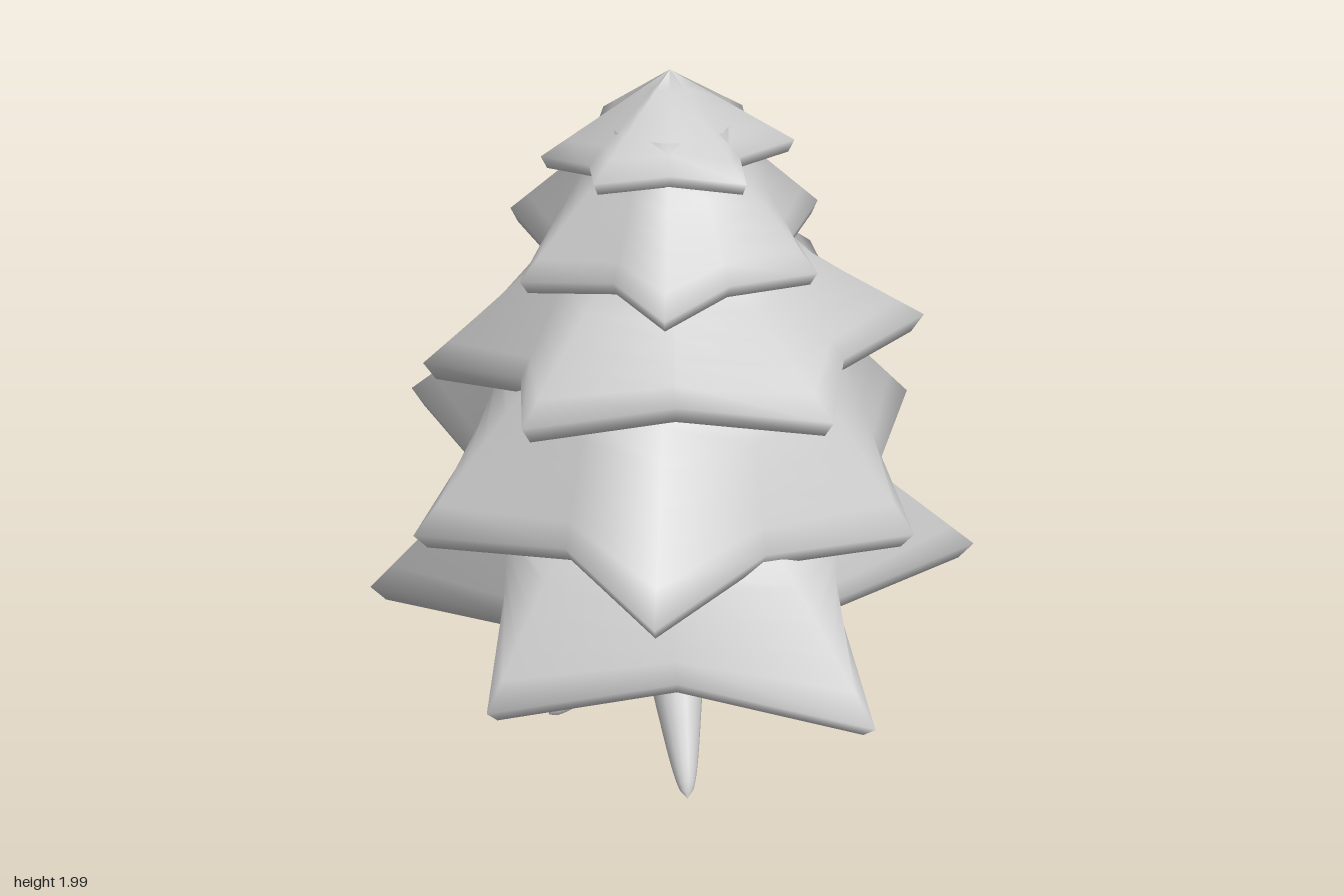
import * as THREE from 'three';

const material = new THREE.MeshStandardMaterial({ color: 0xcccccc });
const CENTRE_Z = -0.03;

// Each tier: six tips [x, z, own notch depth if unusual], rim height y with its
// tilt along x and z, notch depth, rim thickness, upper ring under the next tier.
const TIERS = [
  { tips: [[.83, .12, .66], [.39, .81, .81], [-.53, .61], [-.83, .05], [-.36, -.82, .9], [.58, -.63]],
    y: .62, tilt: [.025, .03], notch: .7, rim: .05, top: .92, radius: .51 },
  { tips: [[.56, .42], [-.13, .73, .77], [-.68, .32, .78], [-.69, -.37], [.15, -.82], [.71, -.25, .88]],
    y: .945, tilt: [-.03, 0], notch: .82, rim: .05, top: 1.28, radius: .42 },
  { tips: [[.635, .08], [.3, .565], [-.4, .425, .76], [-.63, .03], [-.27, -.58], [.45, -.455]],
    y: 1.32, tilt: [.06, .07], notch: .83, rim: .05, top: 1.56, radius: .295 },
  { tips: [[.315, .25], [-.07, .44, .73], [-.38, .19], [-.385, -.24], [.085, -.52], [.4, -.165]],
    y: 1.58, tilt: [.01, .035], notch: .83, rim: .035, top: 1.8, radius: .185 },
  { tips: [[.295, .01, .69], [.14, .25], [-.2, .18], [-.31, -.01], [-.135, -.305], [.21, -.24]],
    y: 1.817, tilt: [.03, .03], notch: .79, rim: .03, top: 2, radius: 0 },
];

// Smooth surface through closed rows of points, ordered from below to above
function loft(rows) {
  const n = rows[0].length;
  const index = [];
  for (let r = 0; r < rows.length - 1; r++) {
    for (let i = 0; i < n; i++) {
      const j = (i + 1) % n;
      const a = r * n + i, b = r * n + j, c = a + n, d = b + n;
      index.push(a, c, d, a, d, b);
    }
  }
  const geometry = new THREE.BufferGeometry().setFromPoints(rows.flat());
  geometry.setIndex(index);
  geometry.computeVertexNormals();
  return geometry;
}

// Star-shaped skirt of foliage with a soft bevelled rim
function tierGeometry({ tips, y, tilt, notch, rim, top, radius }) {
  const rimPoint = (x, z) => new THREE.Vector3(x, y + tilt[0] * x + tilt[1] * z, z);
  // Each notch is the midpoint of two tips, pulled towards the axis
  const edge = tips.flatMap(([x, z, depth = notch], i) => {
    const [nextX, nextZ] = tips[(i + 1) % tips.length];
    return [rimPoint(x, z), rimPoint((x + nextX) / 2 * depth, (z + nextZ) / 2 * depth)];
  });
  const inset = (scale, drop) => edge.map((p) => new THREE.Vector3(p.x * scale, p.y - drop, p.z * scale));
  const hub = edge.map(() => new THREE.Vector3(0, y - rim, CENTRE_Z));
  const ring = (size, height) => edge.map((p) => {
    const angle = Math.atan2(p.z - CENTRE_Z, p.x);
    return new THREE.Vector3(size * Math.cos(angle), height, CENTRE_Z + size * Math.sin(angle));
  });

  const upper = ring(radius, top);
  const rows = [hub, inset(0.88, rim), inset(0.955, rim)];
  const steps = 5;
  for (let s = 0; s <= steps; s++) rows.push(edge.map((p, i) => p.clone().lerp(upper[i], s / steps)));
  // Collar that carries on up inside the next tier
  if (radius > 0) rows.push(ring(radius * 0.82, top + 0.08));
  return loft(rows);
}

// Root: a tube that narrows to a rounded point
function rootGeometry(reach) {
  const curve = new THREE.CatmullRomCurve3([
    new THREE.Vector3(0.02, 0.43, 0), new THREE.Vector3(0.1, 0.285, 0),
    new THREE.Vector3(0.22, 0.165, 0), new THREE.Vector3(reach, 0.012, 0),
  ]);
  const segments = 24, sides = 14;
  const geometry = new THREE.TubeGeometry(curve, segments, 1, sides);
  const position = geometry.attributes.position;
  const point = new THREE.Vector3();
  for (let i = 0; i <= segments; i++) {
    const t = i / segments;
    const centre = curve.getPointAt(t);
    const size = (0.112 - 0.087 * t) * Math.sqrt(Math.max(0, 1 - t ** 14));
    for (let k = 0; k <= sides; k++) {
      const v = i * (sides + 1) + k;
      point.fromBufferAttribute(position, v).sub(centre).multiplyScalar(size).add(centre);
      position.setXYZ(v, point.x, Math.max(0, point.y), point.z);
    }
  }
  geometry.computeVertexNormals();
  return geometry;
}

export function createModel() {
  const model = new THREE.Group();
  model.name = 'pineTree';
  const add = (name, geometry) => {
    const mesh = new THREE.Mesh(geometry, material);
    mesh.name = name;
    model.add(mesh);
    return mesh;
  };

  // Foliage
  TIERS.forEach((tier, i) => add(`foliageTier${i + 1}`, tierGeometry(tier)));

  // Trunk
  const profile = [[0, 0.2], [0.06, 0.215], [0.105, 0.27], [0.135, 0.38], [0.148, 0.68]];
  const curve = new THREE.SplineCurve(profile.map(([x, y]) => new THREE.Vector2(x, y)));
  const trunk = add('trunk', new THREE.LatheGeometry(curve.getPoints(20), 24));
  trunk.position.z = CENTRE_Z;

  // Roots, one along each axis direction
  const roots = [['leftRoot', 0.4], ['backRoot', 0.395], ['rightRoot', 0.365], ['frontRoot', 0.385]];
  roots.forEach(([name, reach], quarter) => {
    const root = add(name, rootGeometry(reach));
    root.rotation.y = quarter * Math.PI / 2;
    root.position.z = -0.015;
  });
  return model;
}
